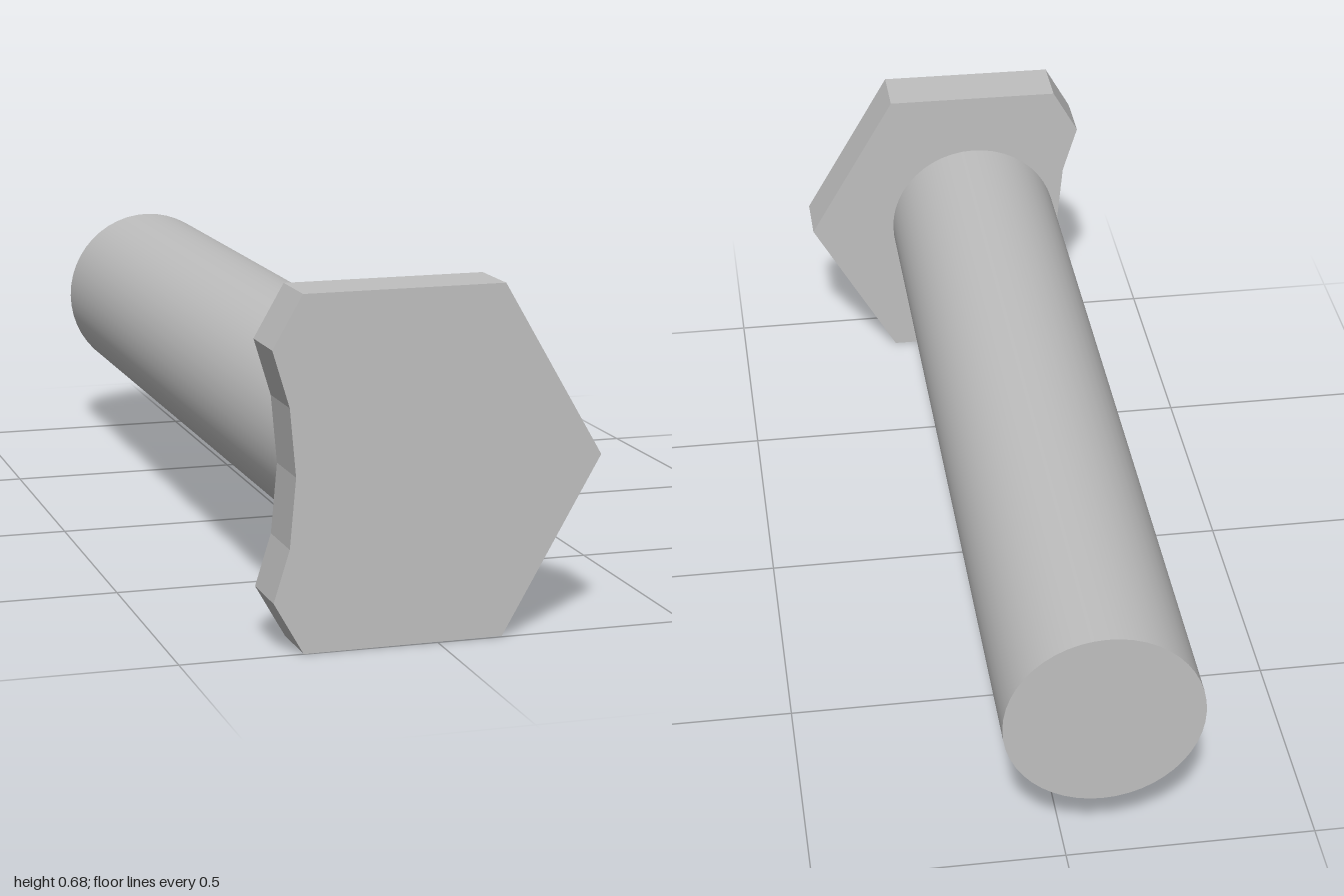
import * as THREE from 'three';

export function createModel() {
  const model = new THREE.Group();
  const steel = new THREE.MeshStandardMaterial({ color: 0xbfbfbf });
  steel.name = 'plain steel grey';

  const axis = { x: -0.07, y: 0.34 };
  const backZ = -1, headZ = 0.875, frontZ = 1;

  // Hexagonal head whose -x corner is cut off by a shallow concave notch
  const outline = [
    [0.322, 0.342], [0.126, 0.678], [-0.264, 0.676], [-0.322, 0.575],
    [-0.289, 0.467], [-0.277, 0.337], [-0.289, 0.202], [-0.32, 0.102],
    [-0.262, 0.001], [0.128, 0.003],
  ].map(([x, y]) => new THREE.Vector2(x, y));
  const headGeometry = new THREE.ExtrudeGeometry(new THREE.Shape(outline), {
    depth: frontZ - headZ, bevelEnabled: false,
  });
  const head = new THREE.Mesh(headGeometry, steel);
  head.name = 'head';
  head.position.z = headZ;
  model.add(head);

  // Smooth round shank running back from the head
  const length = headZ - backZ;
  const shankGeometry = new THREE.CylinderGeometry(0.197, 0.197, length, 48);
  shankGeometry.rotateX(Math.PI / 2);
  const shank = new THREE.Mesh(shankGeometry, steel);
  shank.name = 'shank';
  shank.position.set(axis.x, axis.y, (backZ + headZ) / 2);
  model.add(shank);

  return model;
}
